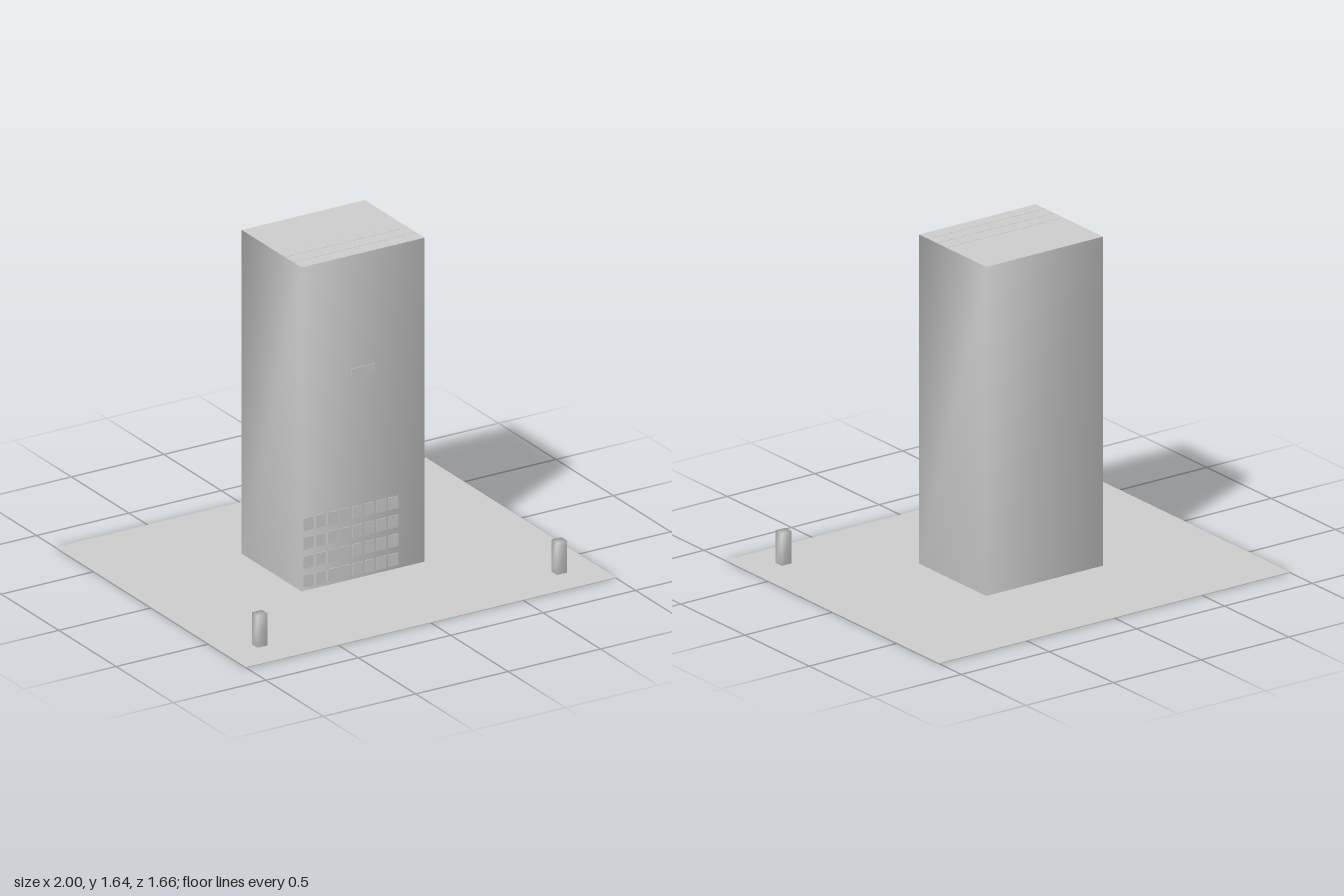
import * as THREE from 'three';

// Box with soft side shading; caps are flat unless softCaps is set
function softBox(x0, x1, y0, y1, z0, z1, softCaps) {
  const ring = y => [[x0, y, z1], [x1, y, z1], [x1, y, z0], [x0, y, z0]];
  const points = [...ring(y0), ...ring(y1)];
  const index = [];
  for (let i = 0; i < 4; i++) {
    const j = (i + 1) % 4;
    index.push(i, j, j + 4, i, j + 4, i + 4);
  }
  const o = softCaps ? 0 : 8;
  if (!softCaps) points.push(...ring(y0), ...ring(y1));
  index.push(o + 4, o + 5, o + 6, o + 4, o + 6, o + 7);
  index.push(o, o + 2, o + 1, o, o + 3, o + 2);
  const g = new THREE.BufferGeometry();
  g.setAttribute('position', new THREE.Float32BufferAttribute(points.flat(), 3));
  g.setIndex(index);
  g.computeVertexNormals();
  return g;
}

export function createModel() {
  const model = new THREE.Group();
  model.name = 'towerBlock';
  const concrete = new THREE.MeshStandardMaterial({ color: 0xcccccc });
  concrete.name = 'concreteGrey';

  const add = (name, geometry, x = 0, y = 0, z = 0, parent = model) => {
    const mesh = new THREE.Mesh(geometry, concrete);
    mesh.name = name;
    mesh.position.set(x, y, z);
    parent.add(mesh);
    return mesh;
  };

  const front = 0.237, back = -0.285, half = 0.333, top = 1.635;

  // Paved plot and tower body
  add('ground', new THREE.BoxGeometry(2, 0.004, 1.66), 0, 0.002, 0);
  add('tower', softBox(-half, half, 0.018, top, back, front, false));

  // Sign plate above the middle of the front
  add('signPlate', new THREE.BoxGeometry(0.126, 0.04, 0.004), -0.002, 1.05, front + 0.001);

  // Lower windows: four rows of eight
  const windows = new THREE.Group();
  windows.name = 'windows';
  model.add(windows);
  const pane = new THREE.BoxGeometry(0.052, 0.062, 0.004);
  for (let row = 0; row < 4; row++) {
    for (let col = 0; col < 8; col++) {
      add('window', pane, -0.298 + col * 0.066, 0.066 + row * 0.0945, front + 0.001, windows);
    }
  }

  // Thin roof slabs along the front half
  const slabs = new THREE.Group();
  slabs.name = 'roofSlabs';
  model.add(slabs);
  const pitch = half / 4;
  const slab = new THREE.BoxGeometry(pitch - 0.003, 0.002, 0.069);
  for (let row = 0; row < 3; row++) {
    for (let col = 0; col < 8; col++) {
      add('roofSlab', slab, -half + pitch * (col + 0.5), top, front - 0.036 - row * 0.072, slabs);
    }
  }

  // Pair of bollards at the front corners
  for (const side of [-1, 1]) {
    add(side < 0 ? 'rightBollard' : 'leftBollard',
      softBox(-0.027, 0.027, 0, 0.164, -0.025, 0.025, true), side * 0.81, 0, 0.64);
  }
  return model;
}
